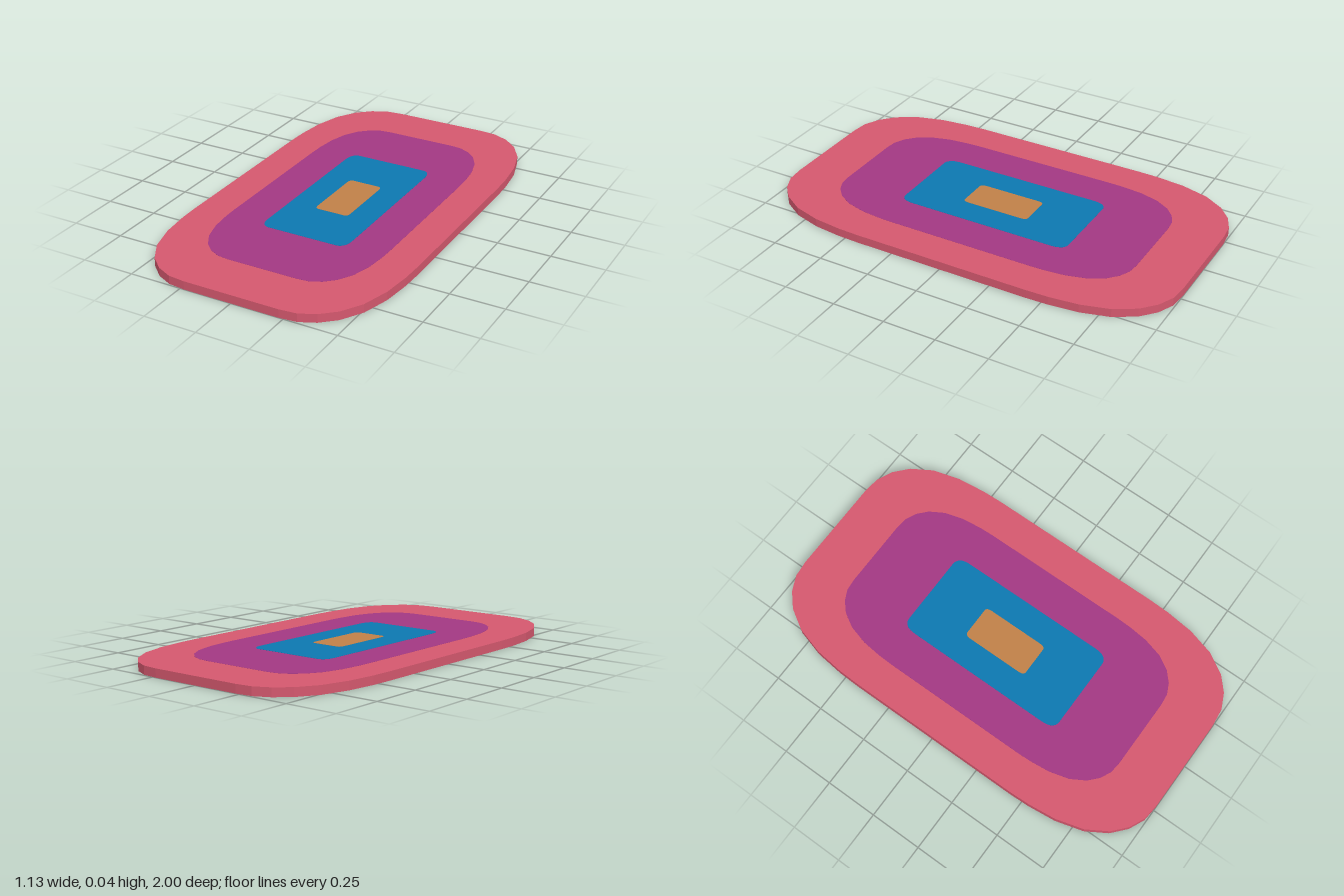
import * as THREE from 'three';

// Corner outline as fractions of the corner's width and length, from end edge to side edge
const CORNER = [[0, 1], [0.24, 0.985], [0.46, 0.925], [0.66, 0.82], [0.835, 0.65], [0.945, 0.42], [0.99, 0.18], [1, 0]];

// Flat slab with rounded corners: half width w, half length l, corner size cw by cl
function slab(name, w, l, cw, cl, bottom, top, color) {
  const quarter = CORNER.map(([u, v]) => [w - cw + u * cw, l - cl + v * cl]);
  const back = [...quarter].reverse();
  const outline = [
    ...quarter,
    ...back.map(([x, y]) => [x, -y]),
    ...quarter.map(([x, y]) => [-x, -y]),
    ...back.map(([x, y]) => [-x, y]),
  ];
  const shape = new THREE.Shape(outline.map(([x, y]) => new THREE.Vector2(x, y)));
  const geometry = new THREE.ExtrudeGeometry(shape, { depth: top - bottom, bevelEnabled: false });
  geometry.rotateX(-Math.PI / 2).translate(0, bottom, 0);
  const mesh = new THREE.Mesh(geometry, new THREE.MeshStandardMaterial({ color, flatShading: true }));
  mesh.name = name;
  return mesh;
}

export function createModel() {
  const group = new THREE.Group();
  group.name = 'rug';
  // Nested bands, each a hair higher than the one around it
  group.add(
    slab('outerBand', 0.566, 1, 0.336, 0.57, 0, 0.04, 0xd4586e),
    slab('middleBand', 0.4, 0.757, 0.23, 0.4, 0.001, 0.0407, 0xa23882),
    slab('innerBand', 0.216, 0.428, 0.045, 0.07, 0.002, 0.0414, 0x0c78b0),
    slab('centrePanel', 0.085, 0.167, 0.018, 0.03, 0.003, 0.042, 0xc08048),
  );
  return group;
}
